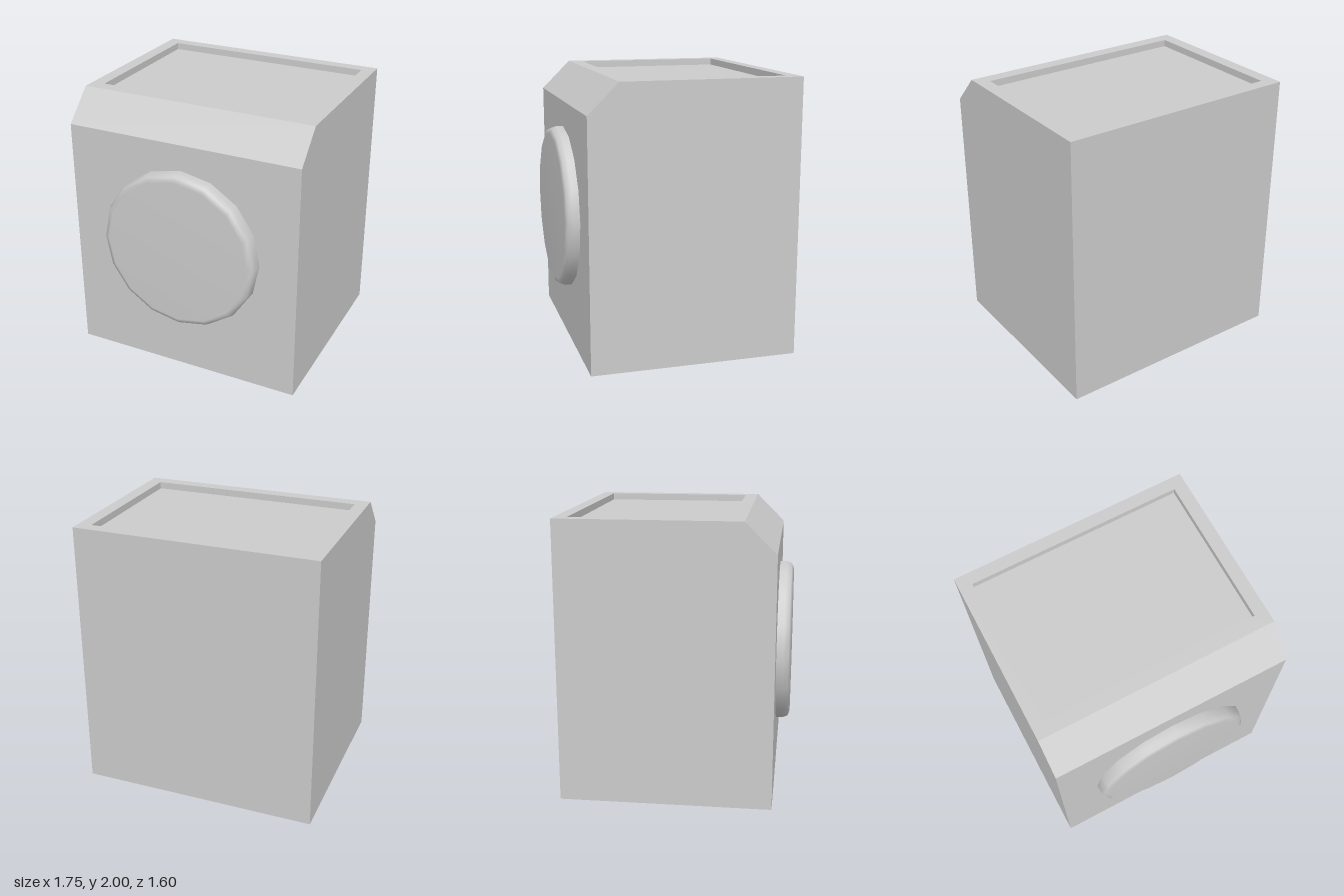
import * as THREE from 'three';

const material = new THREE.MeshStandardMaterial({ color: 0xcccccc });

// Rectangular ring of corners, counter-clockwise seen from above
function ring(halfX, backZ, frontZ, y) {
  return [[-halfX, y, frontZ], [halfX, y, frontZ], [halfX, y, backZ], [-halfX, y, backZ]];
}

// Joins successive rings with quads and closes both ends
function loftRings(rings) {
  const positions = [];
  const quad = (a, b, c, d) => positions.push(...a, ...b, ...c, ...a, ...c, ...d);
  quad(...[...rings[0]].reverse());
  for (let r = 0; r < rings.length - 1; r++) {
    for (let i = 0; i < 4; i++) {
      const j = (i + 1) % 4;
      quad(rings[r][i], rings[r][j], rings[r + 1][j], rings[r + 1][i]);
    }
  }
  quad(...rings[rings.length - 1]);
  const geometry = new THREE.BufferGeometry();
  geometry.setAttribute('position', new THREE.Float32BufferAttribute(positions, 3));
  geometry.computeVertexNormals();
  return geometry;
}

export function createModel() {
  const group = new THREE.Group();
  group.name = 'washingMachine';

  // Cabinet: straight walls, sloped control panel, rim and recessed top
  const cabinet = new THREE.Mesh(loftRings([
    ring(0.875, -0.8, 0.7, 0),
    ring(0.875, -0.8, 0.7, 1.785),
    ring(0.875, -0.8, 0.483, 2),
    ring(0.78, -0.71, 0.387, 2),
    ring(0.78, -0.71, 0.387, 1.95),
  ]), material);
  cabinet.name = 'cabinet';
  group.add(cabinet);

  // Round door: 16-sided disc with a softened front edge
  const profile = [[0.595, 0], [0.595, 0.05], [0.58, 0.085], [0.545, 0.1], [0, 0.1]]
    .map(([r, h]) => new THREE.Vector2(r, h));
  const door = new THREE.Mesh(new THREE.LatheGeometry(profile, 16), material);
  door.name = 'door';
  door.rotation.x = Math.PI / 2;
  door.position.set(0, 1.003, 0.7);
  group.add(door);

  return group;
}
